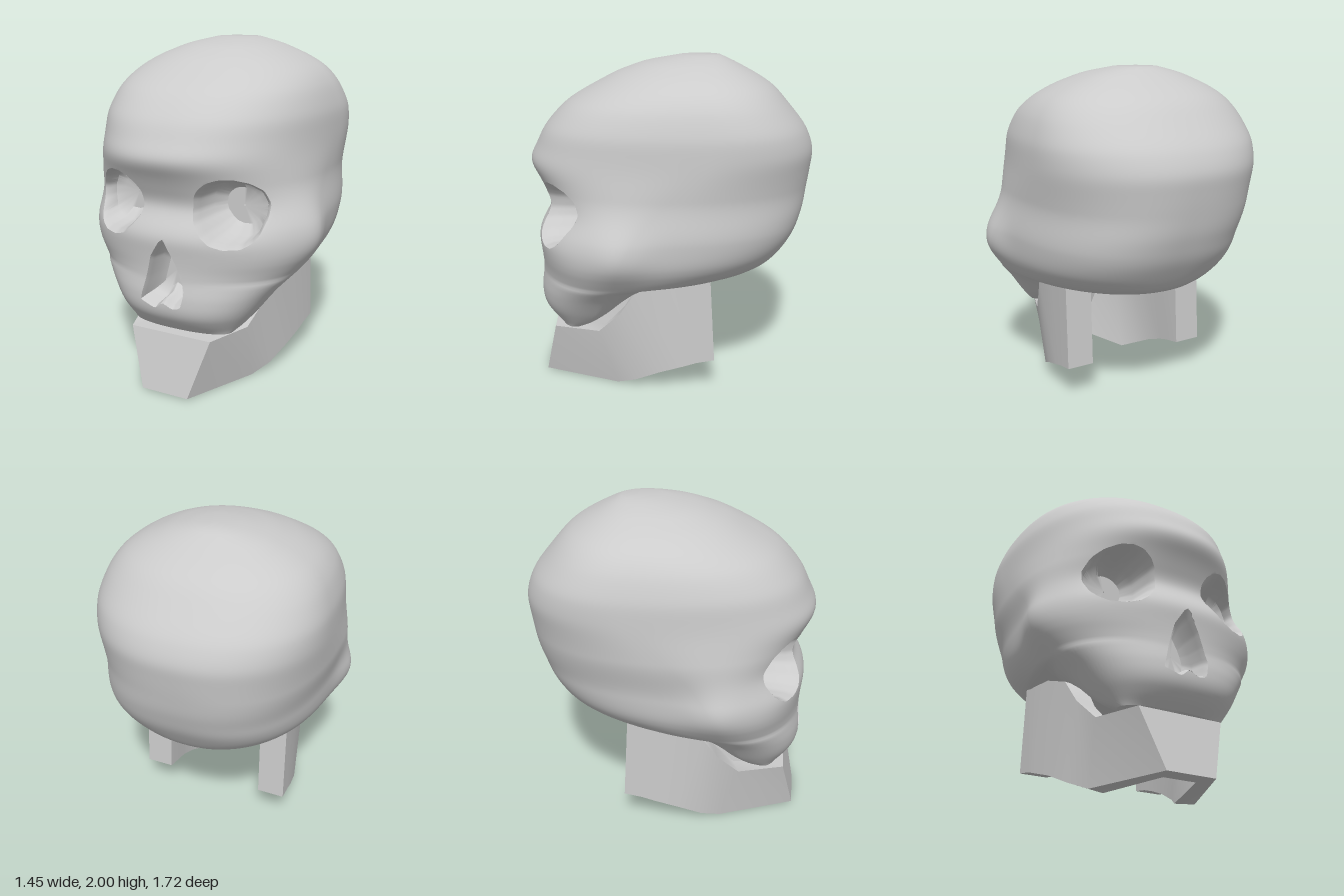
import * as THREE from 'three';
import { toCreasedNormals } from 'three/addons/utils/BufferGeometryUtils.js';

const material = new THREE.MeshStandardMaterial({ color: 0xcccccc, side: THREE.DoubleSide });

// Horizontal cross-sections: y, then front z, back z, half width, z of widest point,
// roundness of the front half, roundness of the back half.
const heights = [0.38, 0.43, 0.5, 0.6, 0.7, 0.715, 0.77, 0.85, 0.96, 1.12, 1.285, 1.39, 1.46, 1.59, 1.735, 1.84, 1.95, 2.0];
const sections = [
  [0.71, 0.53, 0.32, 0.60, 2.3, 2.4],
  [0.765, 0.42, 0.375, 0.52, 2.4, 2.4],
  [0.82, 0.33, 0.43, 0.48, 2.4, 2.4],
  [0.825, 0.20, 0.50, 0.45, 2.3, 2.2],
  [0.81, -0.05, 0.59, 0.40, 2.1, 1.9],
  [0.81, -0.56, 0.60, 0.36, 2.1, 2.0],
  [0.81, -0.635, 0.635, 0.35, 2.1, 2.3],
  [0.815, -0.69, 0.675, 0.33, 2.2, 2.6],
  [0.83, -0.76, 0.685, 0.30, 2.2, 2.7],
  [0.735, -0.815, 0.685, 0.18, 2.3, 2.6],
  [0.81, -0.845, 0.685, 0.0, 2.3, 2.4],
  [0.88, -0.86, 0.685, -0.12, 2.2, 2.3],
  [0.835, -0.87, 0.685, -0.18, 2.3, 2.25],
  [0.775, -0.82, 0.68, -0.2, 2.4, 2.25],
  [0.64, -0.70, 0.63, -0.17, 2.4, 2.25],
  [0.45, -0.61, 0.55, -0.15, 2.3, 2.2],
  [0.24, -0.41, 0.34, -0.15, 2.2, 2.2],
  [-0.05, -0.30, 0.13, -0.18, 2.2, 2.2],
];
const interpolant = new THREE.LinearInterpolant(heights, sections.flat(), 6, new Float32Array(6));

// Cross-section at height y, softened by averaging nearby heights, least at the skull base
function sectionAt(y) {
  const h = Math.min(0.07, 2 - y, y - 0.38, 0.006 + Math.abs(y - 0.71) * 0.5);
  const s = [0, 0, 0, 0, 0, 0];
  for (let k = -4; k <= 4; k++) {
    interpolant.evaluate(y + (k / 4) * h).forEach((v, i) => { s[i] += v * (5 - Math.abs(k)) / 25; });
  }
  const [front, back, width, mid, nFront, nBack] = s;
  return { front, back, width, mid, nFront, nBack, cx: -0.033 * THREE.MathUtils.smoothstep(y, 1, 1.25) };
}

function frontZ(x, y) {
  const s = sectionAt(y);
  const u = Math.min(1, Math.abs((x - s.cx) / s.width));
  return s.mid + (s.front - s.mid) * Math.pow(1 - Math.pow(u, s.nFront), 1 / s.nFront);
}

// Sideways swell of the cheekbone
const cheek = (y, z) => 0.045 * Math.exp(-(((z - 0.33) / 0.17) ** 2) - ((y - 0.93) / 0.15) ** 2);

// Outlines of the face openings and the z of their floors
const eye = [[0.16, 1.19], [0.19, 1.235], [0.24, 1.275], [0.3, 1.295], [0.37, 1.295], [0.44, 1.27], [0.495, 1.225], [0.53, 1.15], [0.53, 1.08],
  [0.51, 0.995], [0.48, 0.955], [0.43, 0.925], [0.34, 0.92], [0.27, 0.94], [0.22, 0.98], [0.165, 1.05], [0.15, 1.11]];
const nose = [[-0.005, 0.96], [0.07, 0.82], [0.1, 0.74], [0.125, 0.65], [0.105, 0.56], [0.05, 0.545],
  [-0.005, 0.58], [-0.06, 0.535], [-0.16, 0.57], [-0.13, 0.68], [-0.085, 0.84]];
const openings = [
  { name: 'leftEyeSocket', centre: [0.345, 1.11], outline: eye, floor: 0.5 },
  { name: 'rightEyeSocket', centre: [-0.355, 1.11], outline: eye.map(([x, y]) => [-x - 0.01, y]), floor: 0.5 },
  { name: 'noseCavity', centre: [-0.01, 0.72], outline: nose, floor: 0.65 },
];

// Distance from the centre of an opening to its rim along a unit direction
function rimRadius({ centre, outline }, dx, dy) {
  for (let i = 0; i < outline.length; i++) {
    const p = outline[i], q = outline[(i + 1) % outline.length];
    const px = p[0] - centre[0], py = p[1] - centre[1];
    const ex = q[0] - p[0], ey = q[1] - p[1];
    const det = dx * ey - dy * ex;
    if (Math.abs(det) < 1e-9) continue;
    const r = (px * ey - py * ex) / det;
    const t = (px * dy - py * dx) / det;
    if (r > 0 && t >= -1e-6 && t <= 1 + 1e-6) return r;
  }
  return 0;
}

// Snap a point near a rim onto it; report whether it lies inside an opening
function carve(x, y, z) {
  for (const o of openings) {
    const ox = x - o.centre[0], oy = y - o.centre[1];
    const r = Math.hypot(ox, oy);
    if (r > 0.35) continue;
    const dx = r > 1e-6 ? ox / r : 1, dy = r > 1e-6 ? oy / r : 0;
    const rim = rimRadius(o, dx, dy);
    if (r < rim - 0.026) return { point: [x, y, z], inside: true };
    if (r < rim + 0.005) {
      const nx = o.centre[0] + dx * rim, ny = o.centre[1] + dy * rim;
      return { point: [nx, ny, frontZ(nx, ny)], inside: false };
    }
  }
  return { point: [x + Math.sign(x) * cheek(y, z), y, z], inside: false };
}

function makeGeometry(positions, index, crease) {
  const g = new THREE.BufferGeometry();
  g.setAttribute('position', new THREE.Float32BufferAttribute(positions, 3));
  g.setIndex(index);
  return toCreasedNormals(g, crease);
}

// Closed shell of stacked sections, with the face openings left out
function buildCranium() {
  const rows = 110, cols = 256, positions = [], index = [], removed = new Set();
  for (let i = 0; i <= rows + 2; i++) {
    const y = 0.38 + 1.62 * THREE.MathUtils.clamp((i - 1) / rows, 0, 1);
    const s = sectionAt(y);
    for (let j = 0; j < cols; j++) {
      if (i === 0 || i === rows + 2) {
        positions.push(s.cx, i === 0 ? 0.45 : 2, s.mid);
        continue;
      }
      const t = (j / cols) * Math.PI * 2, c = Math.cos(t), sn = Math.sin(t);
      const n = sn >= 0 ? s.nFront : s.nBack;
      const reach = sn >= 0 ? s.front - s.mid : s.back - s.mid;
      const x = s.cx + s.width * Math.sign(c) * Math.pow(Math.abs(c), 2 / n);
      const z = s.mid + reach * Math.pow(Math.abs(sn), 2 / n);
      const { point, inside } = sn > 0 ? carve(x, y, z)
        : { point: [x + Math.sign(x) * cheek(y, z), y, z], inside: false };
      if (inside) removed.add(i * cols + j);
      positions.push(...point);
    }
  }
  const triangle = (...corners) => {
    if (!corners.some((v) => removed.has(v))) index.push(...corners);
  };
  for (let i = 0; i < rows + 2; i++) {
    for (let j = 0; j < cols; j++) {
      const k = (j + 1) % cols;
      const a = i * cols + j, b = i * cols + k, c = a + cols, d = b + cols;
      if (i > 0) triangle(a, c, b);
      if (i < rows + 1) triangle(b, c, d);
    }
  }
  return makeGeometry(positions, index, 0.7);
}

// Bowl behind an opening: shrinking copies of the rim, from the face to the floor
function buildCavity(opening) {
  const { centre, floor } = opening;
  const rings = [[1, 0], [0.9, 0.2], [0.82, 0.75], [0.55, 1], [0.02, 1]];
  const cols = 72, positions = [], index = [];
  for (const [scale, depth] of rings) {
    for (let j = 0; j < cols; j++) {
      const t = (j / cols) * Math.PI * 2, dx = Math.cos(t), dy = Math.sin(t);
      const r = rimRadius(opening, dx, dy);
      const z = frontZ(centre[0] + dx * r, centre[1] + dy * r);
      positions.push(centre[0] + dx * r * scale, centre[1] + dy * r * scale, THREE.MathUtils.lerp(z, floor, depth));
    }
  }
  for (let i = 0; i < rings.length - 1; i++) {
    for (let j = 0; j < cols; j++) {
      const a = i * cols + j, b = i * cols + ((j + 1) % cols);
      index.push(a, b, a + cols, b, b + cols, a + cols);
    }
  }
  return makeGeometry(positions, index, 0.8);
}

// Lower jaw: a U-shaped band of four-cornered sections from chin to ramus
function buildJaw() {
  // bottom x, y, z; top x, y, z; inward offset x, z
  const side = [
    [0.15, 0.01, 0.81, 0.26, 0.355, 0.735, -0.05, -0.11],
    [0.34, 0.0, 0.35, 0.36, 0.36, 0.46, -0.11, -0.04],
    [0.41, 0.05, 0.24, 0.41, 0.49, 0.33, -0.13, -0.03],
    [0.455, 0.12, 0.09, 0.44, 0.63, 0.24, -0.15, -0.02],
    [0.475, 0.165, -0.05, 0.46, 0.71, 0.03, -0.16, 0],
    [0.48, 0.19, -0.13, 0.475, 0.75, -0.1, -0.17, 0],
    [0.485, 0.21, -0.24, 0.48, 0.75, -0.21, -0.17, 0],
  ];
  const mirror = ([bx, by, bz, tx, ty, tz, ox, oz]) => [-bx, by, bz, -tx, ty, tz, -ox, oz];
  const stations = [...side.map(mirror).reverse(), ...side];
  const positions = [], index = [];
  for (const [bx, by, bz, tx, ty, tz, ox, oz] of stations) {
    positions.push(bx, by, bz, tx, ty, tz, tx + ox, ty, tz + oz, bx + ox, by, bz + oz);
  }
  for (let i = 0; i < stations.length - 1; i++) {
    for (let j = 0; j < 4; j++) {
      const a = i * 4 + j, b = i * 4 + ((j + 1) % 4);
      index.push(a, a + 4, b, b, a + 4, b + 4);
    }
  }
  const e = (stations.length - 1) * 4;
  index.push(0, 1, 2, 0, 2, 3, e, e + 2, e + 1, e, e + 3, e + 2);
  return makeGeometry(positions, index, 0.8);
}

export function createModel() {
  const group = new THREE.Group();
  group.name = 'skull';
  const add = (name, geometry) => {
    const mesh = new THREE.Mesh(geometry, material);
    mesh.name = name;
    group.add(mesh);
    return mesh;
  };
  add('cranium', buildCranium());
  for (const opening of openings) add(opening.name, buildCavity(opening));
  add('lowerJaw', buildJaw()).position.x = -0.015;
  return group;
}
